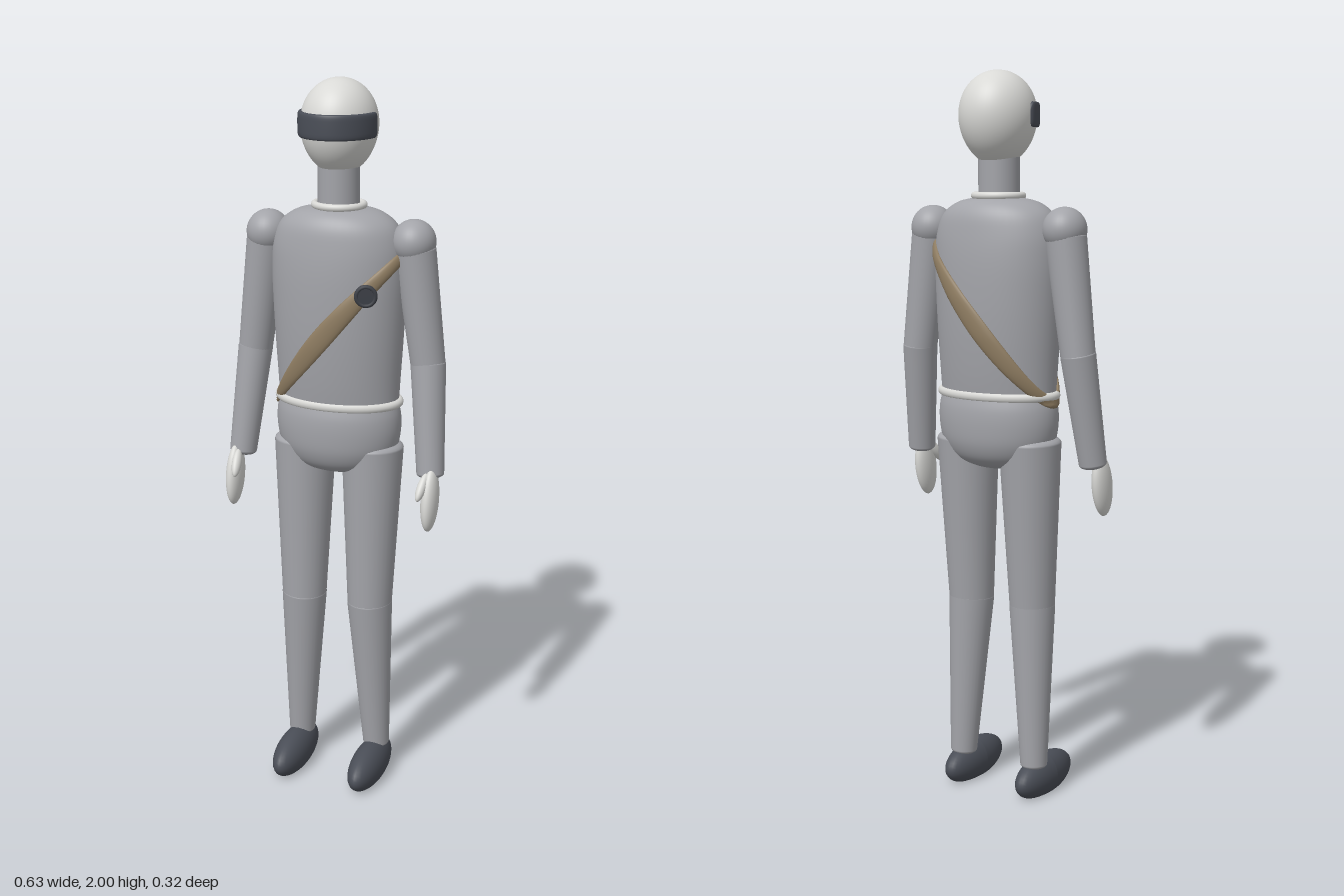
import * as THREE from 'three';

const mat = (name, color) => Object.assign(new THREE.MeshStandardMaterial({ color }), { name });
const CZ = -0.028; // depth of the body axis

// Smooth grid surface from fn(u, v); u runs round +x to +z, v runs upward on the outside
function grid(nu, nv, closeU, closeV, fn) {
  const pos = [], idx = [];
  const cu = closeU ? nu : nu + 1, cv = closeV ? nv : nv + 1;
  for (let i = 0; i < cu; i++)
    for (let j = 0; j < cv; j++) pos.push(...fn(i / nu, j / nv));
  for (let i = 0; i < nu; i++)
    for (let j = 0; j < nv; j++) {
      const i1 = (i + 1) % cu, j1 = (j + 1) % cv;
      const a = i * cv + j, b = i1 * cv + j, c = i * cv + j1, d = i1 * cv + j1;
      idx.push(a, c, b, b, c, d);
    }
  const g = new THREE.BufferGeometry();
  g.setAttribute('position', new THREE.Float32BufferAttribute(pos, 3));
  g.setIndex(idx);
  g.computeVertexNormals();
  return g;
}

// Elliptical loft through rows of [y, rx, rz], bottom to top
function loft(rows, cz = CZ) {
  const curve = new THREE.CatmullRomCurve3(rows.map(([y, rx, rz]) => new THREE.Vector3(rx, y, rz)));
  return grid(48, 40, true, false, (u, v) => {
    const p = curve.getPoint(v), t = u * Math.PI * 2;
    return [p.x * Math.cos(t), p.y, cz + p.z * Math.sin(t)];
  });
}

// Tapered limb with round ends between two points
function limb(a, ra, b, rb) {
  const A = new THREE.Vector3(...a), B = new THREE.Vector3(...b), L = A.distanceTo(B), pts = [];
  for (let i = 0; i <= 8; i++) {
    const t = (i / 8 - 1) * Math.PI / 2;
    pts.push(new THREE.Vector2(ra * Math.cos(t), ra * 0.4 * Math.sin(t)));
  }
  for (let i = 0; i <= 8; i++) {
    const t = i / 8 * Math.PI / 2;
    pts.push(new THREE.Vector2(rb * Math.cos(t), L + rb * 0.3 * Math.sin(t)));
  }
  const g = new THREE.LatheGeometry(pts, 32);
  const dir = B.sub(A).normalize();
  g.applyQuaternion(new THREE.Quaternion().setFromUnitVectors(new THREE.Vector3(0, 1, 0), dir));
  return g.translate(...a);
}

const ellipsoid = (rx, ry, rz) => new THREE.SphereGeometry(1, 32, 24).scale(rx, ry, rz);

const ring = (rx, rz, tube, y) =>
  new THREE.TorusGeometry(1, tube / rx, 12, 64).rotateX(Math.PI / 2).scale(rx, tube / (tube / rx), rz).translate(0, y, CZ);

const PELVIS = [[0.925, 0.001, 0.001], [0.935, 0.08, 0.052], [0.96, 0.137, 0.093], [1.0, 0.165, 0.112],
  [1.05, 0.177, 0.118], [1.1, 0.177, 0.116], [1.14, 0.168, 0.106]];
const TORSO = [[1.12, 0.17, 0.106], [1.2, 0.174, 0.116], [1.3, 0.18, 0.124], [1.4, 0.185, 0.127], [1.5, 0.188, 0.125],
  [1.57, 0.183, 0.118], [1.62, 0.163, 0.108], [1.65, 0.125, 0.088], [1.664, 0.07, 0.055], [1.666, 0.001, 0.001]];

// Body half-width and half-depth at a height
function bodyAt(y) {
  const rows = y < 1.12 ? PELVIS : TORSO;
  const k = Math.max(1, rows.findIndex(r => r[0] >= y));
  const [a, b] = [rows[k - 1], rows[k]], t = (y - a[0]) / (b[0] - a[0]);
  return [a[1] + (b[1] - a[1]) * t, a[2] + (b[2] - a[2]) * t];
}

export function createModel() {
  const model = new THREE.Group();
  model.name = 'figure';
  const grey = mat('suit grey', 0xa3a4a9), pale = mat('pale trim', 0xd9d9d6);
  const dark = mat('dark slate', 0x4a4e57), tan = mat('strap tan', 0x8f7d62), black = mat('buckle charcoal', 0x3c3f46);
  const add = (name, geo, m, parent = model) => {
    const mesh = new THREE.Mesh(geo, m);
    mesh.name = name;
    parent.add(mesh);
    return mesh;
  };

  // Trunk
  add('pelvis', loft(PELVIS), grey);
  add('torso', loft(TORSO), grey);
  add('belt', ring(0.172, 0.107, 0.012, 1.137), pale);
  add('neck', new THREE.CylinderGeometry(0.056, 0.056, 0.14, 32).translate(0, 1.715, -0.025), grey);
  add('collar', ring(0.066, 0.061, 0.01, 1.67), pale);

  // Egg-shaped head
  const headRows = [];
  for (let i = 0; i <= 16; i++) {
    const a = (i / 16 - 0.5) * Math.PI, f = Math.max(0.001, Math.cos(a)) * (1 + 0.06 * Math.sin(a));
    headRows.push([1.874 + 0.126 * Math.sin(a), 0.102 * f, 0.114 * f]);
  }
  add('head', loft(headRows, -0.03), pale);

  // Visor wrapping the front half of the head, with rounded ends
  const soft = x => Math.sign(x) * Math.sqrt(Math.abs(x));
  add('visor', grid(64, 24, false, true, (u, v) => {
    const t = -0.05 + u * (Math.PI + 0.1), p = v * Math.PI * 2;
    const end = Math.min(1, Math.min(u, 1 - u) / 0.05), k = Math.sqrt(end * (2 - end));
    const off = 0.009 * soft(Math.cos(p)) * k, h = 0.033 * soft(Math.sin(p)) * k;
    return [(0.099 + off) * Math.cos(t), 1.883 + h, -0.03 + (0.114 + off) * Math.sin(t)];
  }), dark);

  // Diagonal strap hugging the body from left shoulder to right hip
  add('strap', grid(96, 16, true, true, (u, v) => {
    const t = u * Math.PI * 2, p = v * Math.PI * 2;
    const s = 0.028 * Math.sin(p), cy = 1.335 + 0.212 * Math.cos(t);
    const y = cy + 0.64 * s, [rx, rz] = bodyAt(cy);
    const a = Math.atan2(Math.sin(t) * rz / rz, (Math.cos(t) * rx - 0.77 * s * Math.abs(Math.sin(t))) / rx);
    const [bx, bz] = bodyAt(y), off = 0.002 + 0.008 * Math.cos(p);
    return [(bx + off) * Math.cos(a), y, CZ + (bz + off) * Math.sin(a)];
  }), tan);

  // Round buckle on the strap
  const buckle = new THREE.Group();
  buckle.name = 'buckle';
  buckle.position.set(0.116, 1.456, 0.08);
  buckle.rotation.y = 0.35;
  add('buckleDisc', new THREE.CylinderGeometry(0.027, 0.029, 0.026, 24).rotateX(Math.PI / 2), black, buckle);
  add('buckleRim', new THREE.TorusGeometry(0.025, 0.006, 10, 32).translate(0, 0, 0.009), black, buckle);
  model.add(buckle);

  // Limbs, mirrored across x
  for (const [side, s] of [['left', 1], ['right', -1]]) {
    const part = (name, geo, m) => add(side + name, geo, m);
    part('Thigh', limb([s * 0.1, 0.54, -0.012], 0.063, [s * 0.1, 1.005, -0.027], 0.086), grey);
    part('Shin', limb([s * 0.117, 0.09, -0.03], 0.038, [s * 0.1, 0.545, -0.012], 0.064), grey);

    // Shoe: ellipsoid with a flattened sole
    const shoe = ellipsoid(0.048, 0.06, 0.135).translate(s * 0.117, 0.042, 0.024);
    const p = shoe.attributes.position;
    for (let i = 0; i < p.count; i++) p.setY(i, Math.max(0.003 - 0.003, p.getY(i)));
    shoe.computeVertexNormals();
    part('Shoe', shoe, dark);

    part('Shoulder', ellipsoid(0.059, 0.06, 0.063).translate(s * 0.208, 1.583, -0.034), grey);
    part('UpperArm', limb([s * 0.253, 1.25, -0.037], 0.047, [s * 0.212, 1.56, -0.034], 0.056), grey);
    part('Forearm', limb([s * 0.278, 0.96, 0.004], 0.038, [s * 0.253, 1.255, -0.037], 0.048), grey);
    part('Hand', ellipsoid(0.023, 0.088, 0.042).rotateX(-0.18).translate(s * 0.289, 0.895, 0.038), pale);
    part('Thumb', ellipsoid(0.013, 0.042, 0.016).rotateX(-0.7).rotateZ(s * -0.15).translate(s * 0.273, 0.937, 0.062), pale);
  }
  return model;
}
